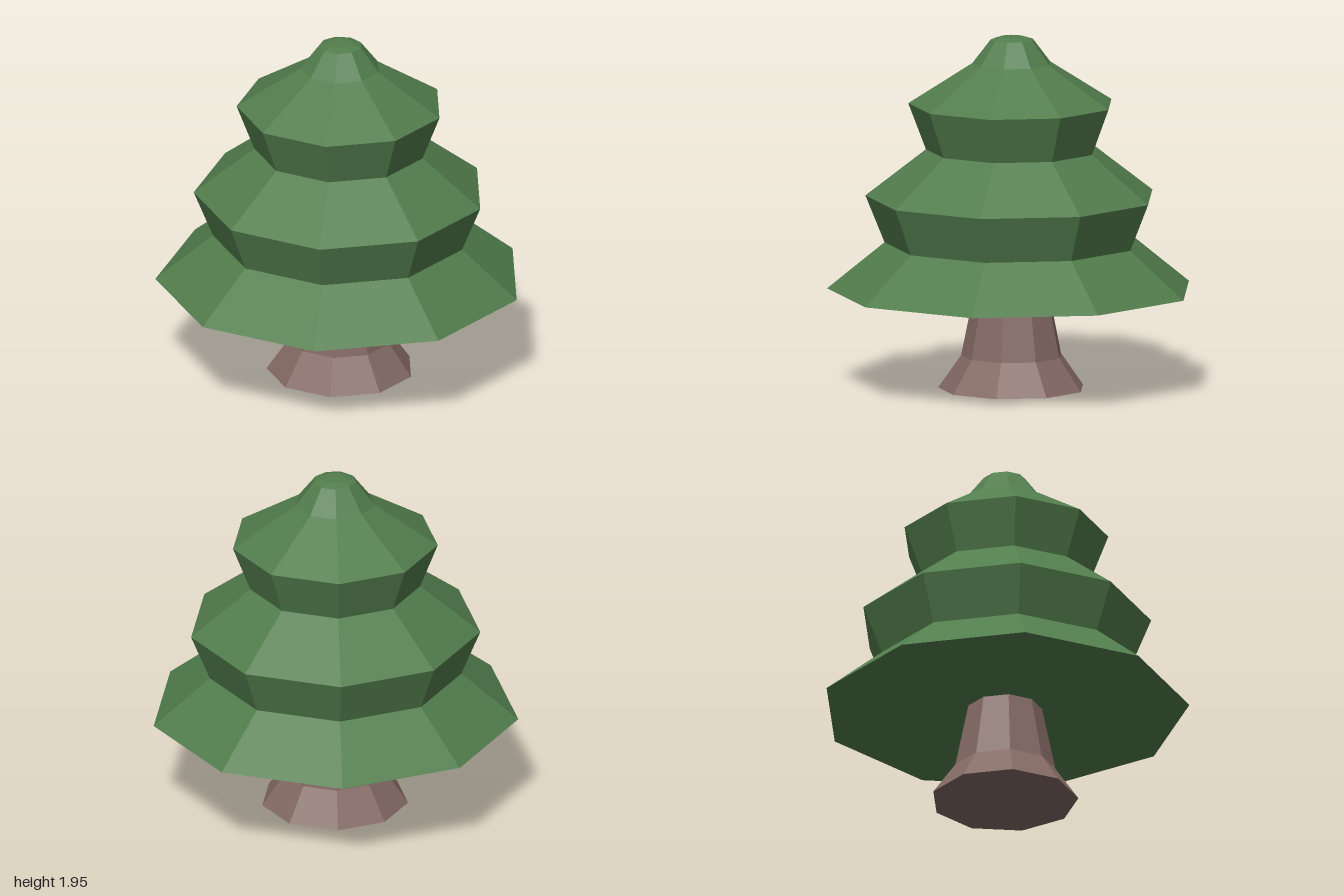
import * as THREE from 'three';

const SIDES = 9;

// Nine-sided faceted solid from [radius, height] points, bottom to top, one corner facing back
function facetedLathe(name, profile, material) {
  const points = profile.map(([r, y]) => new THREE.Vector2(r, y));
  const geometry = new THREE.LatheGeometry(points, SIDES, Math.PI).toNonIndexed();
  geometry.computeVertexNormals();
  const mesh = new THREE.Mesh(geometry, material);
  mesh.name = name;
  return mesh;
}

export function createModel() {
  const foliageGreen = new THREE.MeshStandardMaterial({ color: 0x527d4d, flatShading: true });
  foliageGreen.name = 'foliageGreen';
  const barkBrown = new THREE.MeshStandardMaterial({ color: 0x846a64, flatShading: true });
  barkBrown.name = 'barkBrown';

  const tree = new THREE.Group();
  tree.name = 'tree';

  // Trunk flaring out at the root, closed underneath
  tree.add(facetedLathe('trunk', [
    [0, 0], [0.406, 0], [0.28, 0.18], [0.205, 0.55],
  ], barkBrown));

  // Three stacked tiers of foliage with a blunt tip
  tree.add(facetedLathe('foliage', [
    [0, 0.545], [1.015, 0.545],
    [0.70, 0.803], [0.805, 1.062],
    [0.473, 1.32], [0.57, 1.575],
    [0.219, 1.80], [0.118, 1.932], [0.066, 1.948], [0, 1.948],
  ], foliageGreen));

  // An odd number of sides needs a small shift to centre the depth
  tree.children.forEach((part) => { part.position.z = 0.03; });
  return tree;
}
